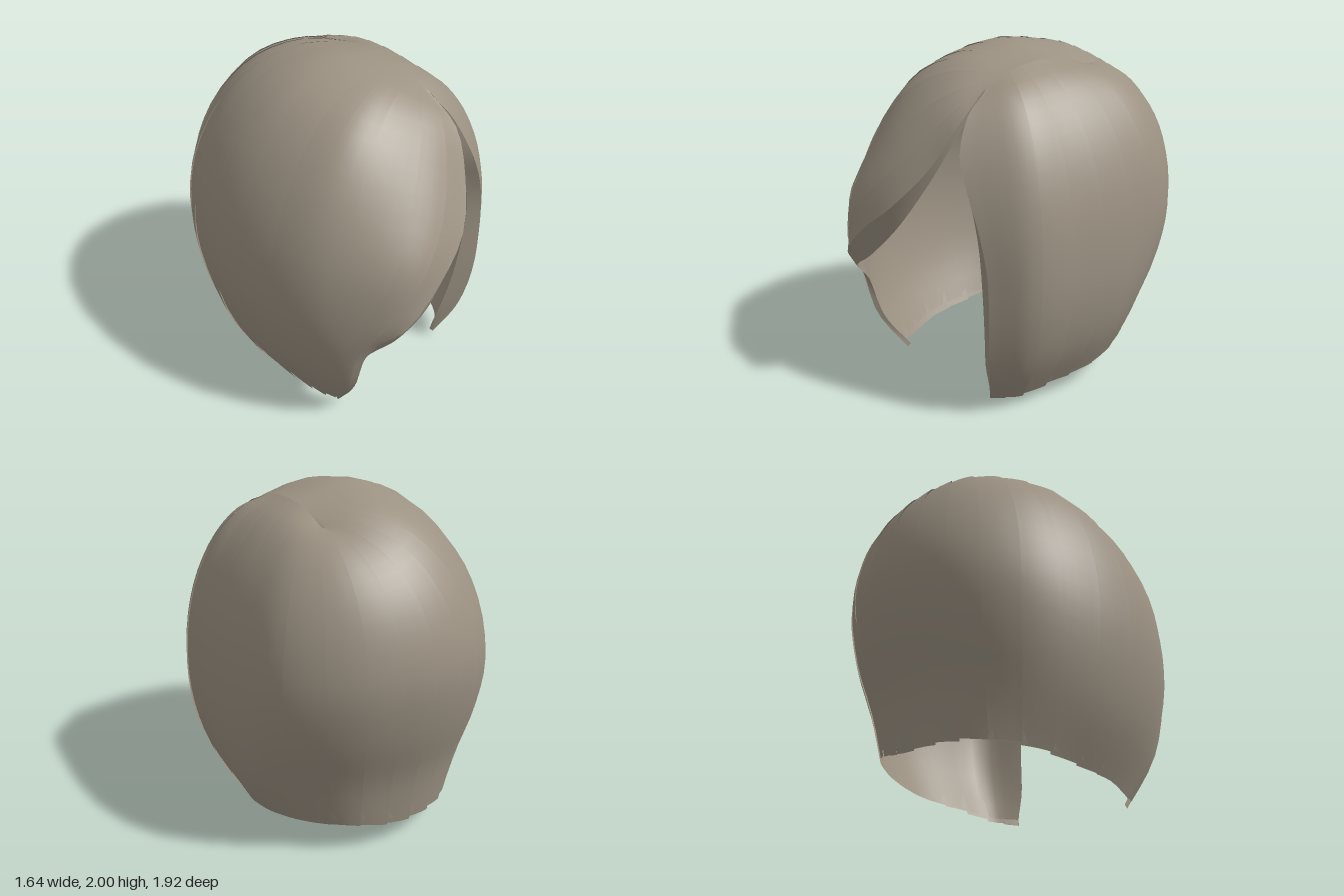
import * as THREE from 'three';

const V = (x, y, z) => new THREE.Vector3(x, y, z);
const path = (rows) => rows.map((p) => V(...p));

// point on the arched parting line, where every strand is rooted
const partingAt = (z) => V(0.285 + 0.12 * Math.max(0, z) ** 2, 1.935 - 0.7 * z * z, z);

// nine-point strand: arc from the parting to the widest point, then a curl in to the tip
function strand(rootZ, wide, tip, lift, tuck) {
  const r = partingAt(rootZ), e = V(...wide), t = V(...tip), pts = [];
  for (let i = 0; i <= 5; i++) {
    const a = (i * Math.PI) / 10, s = Math.sin(a), c = Math.cos(a);
    pts.push(V(
      r.x + (e.x - r.x) * s,
      e.y + (r.y - e.y) * c + lift * Math.sin(2 * a) * c,
      r.z + (e.z - r.z) * s));
  }
  for (let i = 1; i <= 3; i++) {
    const s = i / 3;
    const k = THREE.MathUtils.lerp(s ** 2.3, s * s * (3 - 2 * s), tuck);
    pts.push(V(e.x + (t.x - e.x) * k, e.y + (t.y - e.y) * s, e.z + (t.z - e.z) * k));
  }
  return pts;
}

// swept fringe: inner fold, front edge and the strand behind it
const fringeFold = path([[0.305, 1.8, 0.4], [0.32, 1.62, 0.58], [0.25, 1.39, 0.7], [0.11, 1.11, 0.83],
  [-0.1, 0.88, 0.9], [-0.3, 0.74, 0.88], [-0.41, 0.57, 0.75], [-0.425, 0.27, 0.65], [-0.41, 0.02, 0.48]]);
const fringeEdge = path([[0.31, 1.83, 0.4], [0.34, 1.69, 0.58], [0.29, 1.48, 0.72], [0.14, 1.25, 0.88],
  [-0.08, 1.06, 0.95], [-0.29, 0.85, 0.94], [-0.42, 0.65, 0.79], [-0.44, 0.3, 0.69], [-0.41, 0.0, 0.5]]);
const fringeMiddle = path([[0.3, 1.86, 0.33], [0.2, 1.79, 0.51], [0.07, 1.64, 0.66], [-0.1, 1.42, 0.81],
  [-0.28, 1.18, 0.9], [-0.43, 0.91, 0.84], [-0.51, 0.62, 0.74], [-0.5, 0.3, 0.65], [-0.42, 0.02, 0.5]]);

// left curtain: front edge and its inner lip
const curtainEdge = path([[0.31, 1.82, 0.4], [0.35, 1.73, 0.53], [0.41, 1.55, 0.63], [0.49, 1.36, 0.64],
  [0.56, 1.15, 0.62], [0.6, 0.9, 0.6], [0.59, 0.55, 0.59], [0.53, 0.25, 0.54], [0.42, 0.04, 0.46]]);
const curtainLip = path([[0.305, 1.79, 0.38], [0.31, 1.64, 0.52], [0.33, 1.49, 0.57], [0.43, 1.32, 0.59],
  [0.49, 1.08, 0.58], [0.495, 0.8, 0.56], [0.47, 0.5, 0.53], [0.425, 0.25, 0.49], [0.41, 0.05, 0.44]]);

// guide strands, from the fringe around the right side and back to the left curtain
const guides = [
  fringeEdge,
  fringeMiddle,
  strand(0.24, [-0.64, 0.9, 0.62], [-0.47, 0.03, 0.42], 0.12, 0),
  strand(0.15, [-0.77, 0.92, 0.33], [-0.54, 0.07, 0.22], 0.16, 0),
  strand(0.0, [-0.815, 0.95, -0.1], [-0.57, 0.08, -0.05], 0.19, 0),
  strand(-0.12, [-0.72, 1.0, -0.5], [-0.54, 0.1, -0.35], 0.16, 0.3),
  strand(-0.2, [-0.5, 1.05, -0.78], [-0.4, 0.11, -0.6], 0.13, 0.8),
  strand(-0.26, [-0.22, 1.1, -0.92], [-0.2, 0.13, -0.71], 0.07, 1),
  strand(-0.3, [0.1, 1.12, -0.95], [0.05, 0.15, -0.73], 0.02, 1),
  strand(-0.3, [0.43, 1.1, -0.86], [0.32, 0.2, -0.67], 0, 0.9),
  strand(-0.25, [0.71, 1.05, -0.6], [0.51, 0.17, -0.46], -0.02, 0.5),
  strand(-0.1, [0.8, 0.95, -0.27], [0.6, 0.11, -0.15], -0.05, 0),
  strand(0.1, [0.81, 0.9, 0.1], [0.58, 0.09, 0.12], -0.06, 0),
  strand(0.25, [0.765, 0.9, 0.43], [0.53, 0.06, 0.35], -0.03, 0),
  curtainEdge,
];

// surface through a row of strands: u runs around the head, t from root to tip
function surface(strands) {
  const curves = strands.map((s) => new THREE.CatmullRomCurve3(s));
  return (u, t) => new THREE.CatmullRomCurve3(curves.map((c) => c.getPoint(t))).getPoint(u);
}

// grid of points as an indexed, smooth geometry
function sheet(pointAt, columns, rows) {
  const pos = [], index = [];
  for (let j = 0; j <= rows; j++) {
    for (let i = 0; i <= columns; i++) pos.push(...pointAt(i / columns, j / rows).toArray());
  }
  const w = columns + 1;
  for (let j = 0; j < rows; j++) {
    for (let i = 0; i < columns; i++) {
      const a = j * w + i;
      index.push(a, a + w, a + 1, a + 1, a + w, a + w + 1);
    }
  }
  const g = new THREE.BufferGeometry();
  g.setAttribute('position', new THREE.Float32BufferAttribute(pos, 3));
  g.setIndex(index);
  g.computeVertexNormals();
  return g;
}

export function createModel() {
  const model = new THREE.Group();
  model.name = 'bobHair';
  const hair = new THREE.MeshStandardMaterial({ color: 0x9c9283, side: THREE.DoubleSide });
  hair.name = 'ash brown hair';
  const add = (name, geometry, parent = model) => {
    const mesh = new THREE.Mesh(geometry, hair);
    mesh.name = name;
    parent.add(mesh);
  };

  // outer locks, each slightly overlapping the next one
  const locks = new THREE.Group();
  locks.name = 'locks';
  model.add(locks);
  const outer = surface(guides);
  const count = 24;
  for (let k = 0; k < count; k++) {
    const last = k === count - 1;
    const u0 = k / count, u1 = last ? 1 : (k + 1.08) / count;
    const length = k === 0 || last ? 1 : 0.98 + 0.02 * Math.abs(Math.sin(k * 12.9));
    add('lock', sheet((a, b) => {
      const t = b * length;
      const p = outer(u0 + (u1 - u0) * a, t);
      const out = k === 0 || last ? 0 : (0.005 - 0.009 * a) * Math.min(1, t * 4);
      return p.addScaledVector(V(p.x, 0.3 * (p.y - 1), p.z).normalize(), out);
    }, 4, 24), locks);
  }

  // inner lining, thinning out towards the tips
  const centre = V(0.05, 0.9, 0);
  const inset = (s) => s.map((p, i) => p.clone().sub(centre)
    .multiplyScalar(1 - 0.035 * (1 - (i / 8) ** 3)).add(centre));
  const lining = surface([fringeFold, ...guides.slice(1, -1).map(inset), curtainLip]);
  add('lining', sheet((a, b) => lining(a, b * 0.985), 56, 24));

  // turned-in borders of the face opening
  const border = (from, to) => {
    const c0 = new THREE.CatmullRomCurve3(from), c1 = new THREE.CatmullRomCurve3(to);
    return sheet((a, b) => c0.getPoint(b).lerp(c1.getPoint(b), a), 2, 28);
  };
  add('fringeBorder', border(fringeFold, fringeEdge));
  add('curtainBorder', border(curtainEdge, curtainLip));
  return model;
}
